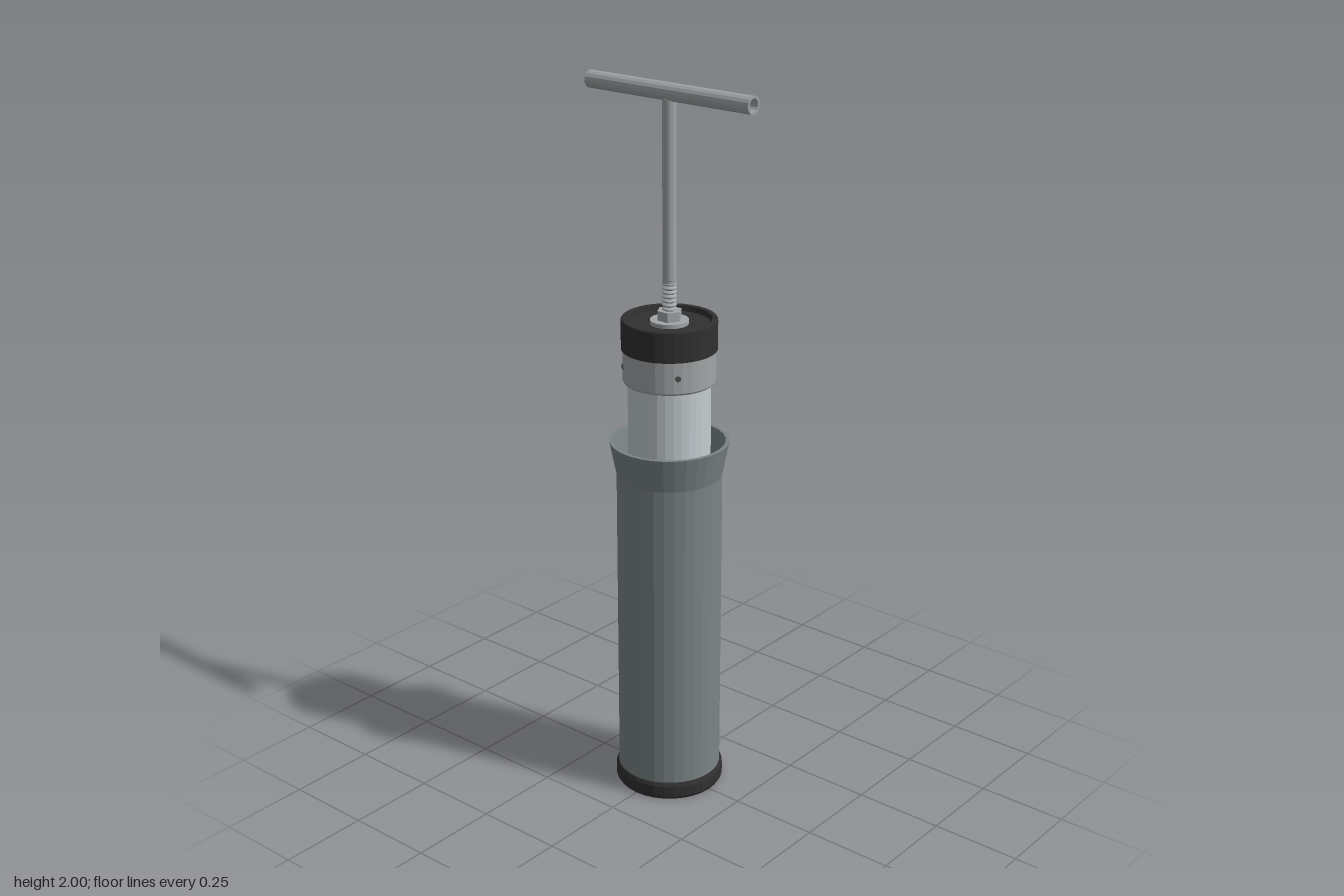
import * as THREE from 'three';

const mat = (name, color, double) => {
  const m = new THREE.MeshStandardMaterial({ color });
  m.name = name;
  if (double) m.side = THREE.DoubleSide;
  return m;
};

// Unshared vertices give each face its own flat normal
const faceted = (geo) => {
  const g = geo.index ? geo.toNonIndexed() : geo;
  g.computeVertexNormals();
  return g;
};

export function createModel() {
  const sleeveGrey = mat('sleeve grey', 0x7b8486);
  const black = mat('black plastic', 0x303030);
  const aluminium = mat('pale aluminium', 0xc4cccf);
  const steel = mat('steel', 0xa2a5a7);
  const holeDark = mat('hole dark', 0x4a4c4d, true);

  const model = new THREE.Group();
  model.name = 'handPump';

  const add = (name, geo, material, parent = model) => {
    const mesh = new THREE.Mesh(faceted(geo), material);
    mesh.name = name;
    parent.add(mesh);
    return mesh;
  };
  // Profile runs up the outside, then down the inside
  const turned = (name, profile, material, sides = 32) =>
    add(name, new THREE.LatheGeometry(profile.map(([r, y]) => new THREE.Vector2(r, y)), sides), material);

  // Foot cap with small chamfers
  turned('footCap', [[0, 0], [0.147, 0], [0.152, 0.008], [0.152, 0.04], [0.147, 0.05], [0, 0.05]], black);

  // Hollow outer sleeve flaring to a wide mouth
  turned('outerSleeve', [
    [0.144, 0.045], [0.144, 0.94], [0.163, 1.036], [0.152, 1.036], [0.134, 0.94], [0.134, 0.045],
  ], sleeveGrey);

  // Inner barrel
  turned('innerTube', [[0.112, 0.045], [0.112, 1.22]], aluminium);

  // Collar under the cap
  turned('collar', [[0.11, 1.205], [0.122, 1.205], [0.125, 1.21], [0.125, 1.298], [0.11, 1.298]], steel);

  // Screw holes around the collar
  for (const degrees of [40, 130, 263]) {
    const a = THREE.MathUtils.degToRad(degrees);
    const hole = add('collarHole', new THREE.CylinderGeometry(0.008, 0.008, 0.006, 10), holeDark);
    hole.position.set(Math.cos(a) * 0.1245, 1.252, Math.sin(a) * 0.1245);
    hole.rotation.set(Math.PI / 2, 0, Math.PI / 2 - a);
    hole.quaternion.setFromUnitVectors(
      new THREE.Vector3(0, 1, 0), new THREE.Vector3(Math.cos(a), 0, Math.sin(a)));
  }

  // Top cap with a shallow recess
  turned('topCap', [
    [0.11, 1.296], [0.129, 1.296], [0.129, 1.377], [0.127, 1.38], [0.114, 1.38], [0.111, 1.365], [0, 1.365],
  ], black);

  // Washer and hex nut
  const washer = add('washer', new THREE.CylinderGeometry(0.052, 0.052, 0.012, 32), steel);
  washer.position.y = 1.37;
  const nut = add('hexNut', new THREE.CylinderGeometry(0.034, 0.034, 0.028, 6), steel);
  nut.position.y = 1.388;
  nut.rotation.y = Math.PI / 6;

  // Threaded end of the rod
  const thread = [];
  for (let i = 0; i <= 7; i++) {
    const y = 1.4 + i * 0.0115;
    thread.push([0.014, y], [0.02, y + 0.004], [0.02, y + 0.0065]);
  }
  turned('rodThread', thread, steel, 16);

  // Plunger rod
  const rod = add('rod', new THREE.CylinderGeometry(0.0185, 0.0185, 0.485, 16), steel);
  rod.position.y = 1.7175;

  // Hollow crossbar handle
  const handle = turned('handle', [
    [0.0175, -0.267], [0.0235, -0.267], [0.0235, 0.267], [0.0175, 0.267], [0.0175, -0.267],
  ], steel, 16);
  handle.rotation.z = Math.PI / 2;
  handle.position.y = 1.9765;

  return model;
}
